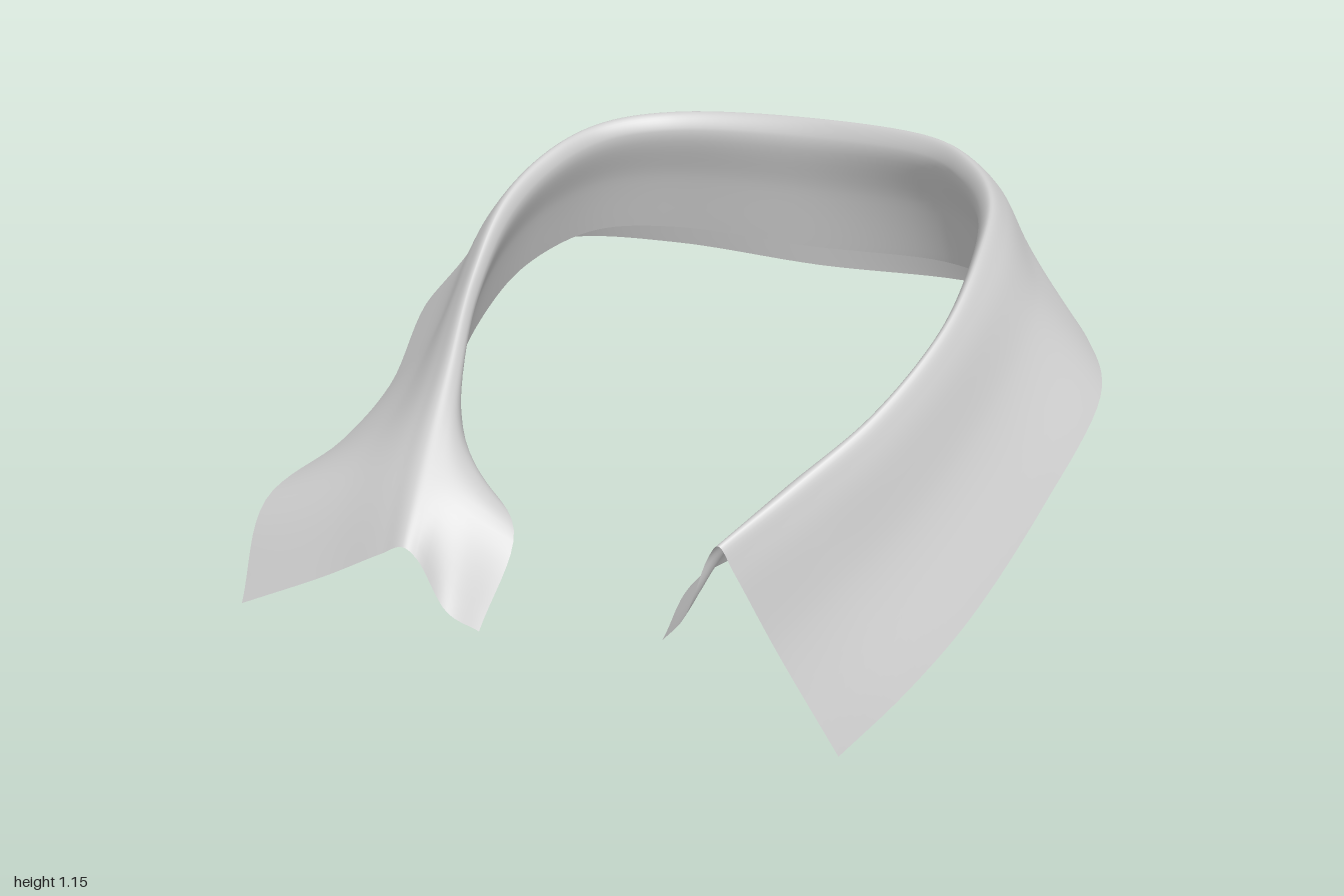
import * as THREE from 'three';

const V = (a) => new THREE.Vector3(...a);

// Each station: [hem of the leaf, crest of the fold, lower edge of the stand]
// Right wing, front to back
const rightWing = [
  [[-0.95, 0.06, 0.72], [-0.45, 0.31, 0.70], [-0.25, 0.12, 0.68]],
  [[-1.00, 0.27, 0.54], [-0.50, 0.45, 0.55], [-0.25, 0.32, 0.51]],
  [[-0.95, 0.355, 0.27], [-0.56, 0.64, 0.32], [-0.48, 0.42, 0.36]],
  [[-0.94, 0.45, 0.05], [-0.62, 0.82, 0.10], [-0.66, 0.54, 0.14]],
  [[-0.96, 0.64, -0.20], [-0.64, 0.98, -0.10], [-0.70, 0.68, -0.12]],
  [[-0.89, 0.71, -0.43], [-0.61, 1.08, -0.30], [-0.68, 0.755, -0.30]],
];
// Right half of the back, mirrored for the left half
const backHalf = [
  [[-0.74, 0.74, -0.62], [-0.54, 1.13, -0.48], [-0.60, 0.80, -0.53]],
  [[-0.45, 0.73, -0.74], [-0.38, 1.15, -0.62], [-0.42, 0.80, -0.66]],
];
const backCentre = [[0, 0.71, -0.77], [0, 1.15, -0.71], [0, 0.78, -0.71]];
// Left wing, back to front
const leftWing = [
  [[0.91, 0.71, -0.40], [0.67, 1.09, -0.27], [0.71, 0.77, -0.31]],
  [[1.00, 0.65, -0.19], [0.72, 1.01, -0.05], [0.76, 0.66, -0.10]],
  [[0.955, 0.455, 0.09], [0.715, 0.88, 0.16], [0.74, 0.57, 0.12]],
  [[0.87, 0.25, 0.34], [0.64, 0.73, 0.38], [0.59, 0.48, 0.37]],
  [[0.78, 0.115, 0.50], [0.53, 0.61, 0.56], [0.29, 0.33, 0.57]],
  [[0.68, 0.00, 0.64], [0.42, 0.50, 0.73], [0.29, 0.25, 0.75]],
];

const mirror = (station) => station.map(([x, y, z]) => [-x, y, z]);
const stations = [
  ...rightWing, ...backHalf, backCentre, ...backHalf.map(mirror).reverse(), ...leftWing,
];
const last = stations.length - 1;

// Curl of the stand at its two free ends
const endCurl = { 0: V([0, -0.05, 0]), [last]: V([0.02, -0.02, 0.04]) };

// Seven-point cross-section of the folded cloth at each station
function makeSections() {
  const up = new THREE.Vector3(0, 1, 0);
  return stations.map(([h, c, e], i) => {
    const H = V(h), C = V(c), E = V(e);
    const along = V(stations[Math.min(i + 1, last)][1]).sub(V(stations[Math.max(i - 1, 0)][1]));
    const out = up.clone().cross(along).normalize();
    const roll = 0.01 + 0.03 * Math.sin((Math.PI * i) / last);
    const atBack = C.z < -0.4;
    const standMiddle = C.clone().lerp(E, 0.55).addScaledVector(out, -roll * 0.4);
    if (endCurl[i]) standMiddle.add(endCurl[i]);
    return [
      H,
      H.clone().lerp(C, 0.5).addScaledVector(out, atBack ? 0.015 : -0.012),
      C.clone().lerp(H, 0.12).addScaledVector(out, roll * (atBack ? 0.8 : 0.4)),
      C,
      C.clone().lerp(E, 0.14).addScaledVector(out, -roll),
      standMiddle,
      E,
    ];
  });
}

// Smooth sheet lofted through the cross-sections
function loft(sections, nu, nv) {
  const rails = sections[0].map((_, k) => new THREE.CatmullRomCurve3(sections.map((s) => s[k])));
  const position = [], index = [];
  for (let i = 0; i <= nu; i++) {
    const section = new THREE.CatmullRomCurve3(rails.map((r) => r.getPoint(i / nu)));
    for (let j = 0; j <= nv; j++) {
      position.push(...section.getPoint(j / nv).toArray());
      if (i === nu || j === nv) continue;
      const a = i * (nv + 1) + j, b = a + nv + 1;
      index.push(a, a + 1, b, b, a + 1, b + 1);
    }
  }
  const geometry = new THREE.BufferGeometry();
  geometry.setAttribute('position', new THREE.Float32BufferAttribute(position, 3));
  geometry.setIndex(index);
  geometry.computeVertexNormals();
  return geometry;
}

export function createModel() {
  const group = new THREE.Group();
  group.name = 'shirtCollar';
  // Leaf, rolled fold and inner stand are one continuous cloth
  const cloth = new THREE.Mesh(
    loft(makeSections(), 128, 48),
    new THREE.MeshStandardMaterial({ color: 0xcccccc, side: THREE.DoubleSide })
  );
  cloth.name = 'foldedCollarCloth';
  group.add(cloth);
  return group;
}
